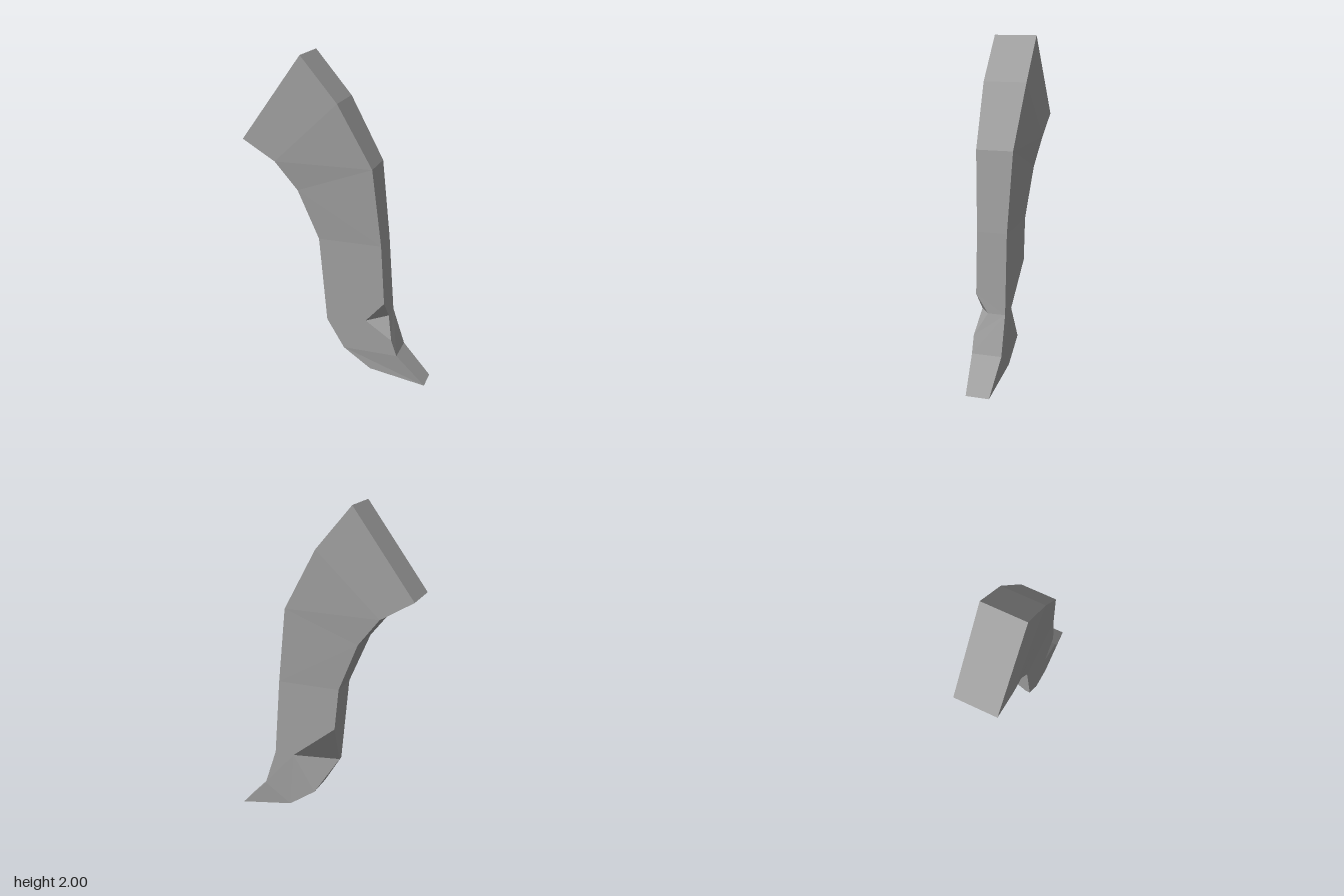
import * as THREE from 'three';

// Profile points [x, y, half thickness], from the upper end down to the tip
const outer = [[-0.2, 2, 0.13], [0.02, 1.74, 0.13], [0.225, 1.37, 0.11], [0.28, 0.9, 0.09]];
const inner = [[-0.57, 1.49, 0.13], [-0.37, 1.37, 0.13], [-0.235, 1.2, 0.11], [-0.11, 0.9, 0.09]];
const knee = [0.315, 0.42, 0.09], instep = [0.39, 0.19, 0.09], tip = [0.565, 0.005, 0.07];
const sole = [0.22, 0.07, 0.085], heel = [0.05, 0.19, 0.09], ankle = [-0.06, 0.37, 0.09];

const front = p => [p[0], p[1], p[2]];
const back = p => [p[0], p[1], -p[2]];

// Notch corners: start, depth on the broad side, depth on the narrow side, end
const fn = [[0.305, 0.53, 0.09], [0.19, 0.4, 0.09], [0.315, 0.42, 0.015], [0.355, 0.29, 0.09]];
const bn = [[-0.085, 0.64, -0.09], [0.19, 0.42, -0.09], [-0.06, 0.37, 0.06], back(heel)];

// Collects polygons whose triangles are wound to face a given outward direction
function surface() {
  const positions = [];
  const triangle = (hint, a, b, c) => {
    const [A, B, C] = [a, b, c].map(p => new THREE.Vector3(...p));
    const n = B.clone().sub(A).cross(C.clone().sub(A));
    const flip = n.dot(new THREE.Vector3(...hint)) < 0;
    positions.push(...a, ...(flip ? c : b), ...(flip ? b : c));
  };
  return {
    fan(hint, ...p) {
      for (let i = 1; i < p.length - 1; i++) triangle(hint, p[0], p[i], p[i + 1]);
    },
    broad(hint, ...p) {
      const contour = p.map(q => new THREE.Vector2(q[0], q[1]));
      for (const [a, b, c] of THREE.ShapeUtils.triangulateShape(contour, [])) triangle(hint, p[a], p[b], p[c]);
    },
    mesh(name, material) {
      const g = new THREE.BufferGeometry();
      g.setAttribute('position', new THREE.Float32BufferAttribute(positions, 3));
      g.computeVertexNormals();
      const m = new THREE.Mesh(g, material);
      m.name = name;
      return m;
    },
  };
}

export function createModel() {
  const group = new THREE.Group();
  group.name = 'curvedLeg';
  const grey = new THREE.MeshStandardMaterial({ color: 0xa0a0a0 });
  grey.name = 'stoneGrey';

  // Broad front and back sides
  const lower = {
    frontSide: [fn[0], fn[1], fn[3], ...[instep, tip, sole, heel, ankle].map(front)],
    backSide: [...[knee, instep, tip, sole].map(back), bn[3], bn[1], bn[0]],
  };
  for (const [name, at, z] of [['frontSide', front, 1], ['backSide', back, -1]]) {
    const s = surface();
    for (let i = 0; i < 3; i++) {
      s.broad([0, 0, z], at(outer[i]), at(outer[i + 1]), at(inner[i + 1]), at(inner[i]));
    }
    s.broad([0, 0, z], at(outer[3]), ...lower[name], at(inner[3]));
    group.add(s.mesh(name, grey));
  }

  // Narrow walls: strips joining the front and back rims
  const strip = (s, hint, rim) => {
    for (let i = 0; i < rim.length - 1; i++) {
      s.fan(hint, front(rim[i]), back(rim[i]), back(rim[i + 1]), front(rim[i + 1]));
    }
  };
  const out = [1, 1, 0], inn = [-1, -1, 0];
  const outerWall = surface();
  strip(outerWall, out, outer);
  outerWall.fan(out, back(knee), back(outer[3]), front(outer[3]), fn[0], fn[2]);
  outerWall.fan(out, back(knee), fn[2], fn[3], front(instep), back(instep));
  strip(outerWall, out, [instep, tip]);
  group.add(outerWall.mesh('outerWall', grey));

  const innerWall = surface();
  strip(innerWall, inn, inner);
  innerWall.fan(inn, front(ankle), front(inner[3]), back(inner[3]), bn[0], bn[2]);
  innerWall.fan(inn, front(ankle), bn[2], bn[3], front(heel));
  strip(innerWall, inn, [heel, sole, tip]);
  group.add(innerWall.mesh('innerWall', grey));

  // Flat upper end
  const cap = surface();
  strip(cap, [-1, 1, 0], [outer[0], inner[0]]);
  group.add(cap.mesh('upperEnd', grey));

  // Corner notches, one on each broad side
  for (const [name, n, z] of [['frontNotch', fn, 1], ['backNotch', bn, -1]]) {
    const s = surface();
    s.fan([0, 0, z], n[0], n[1], n[2]);
    s.fan([0, 0, z], n[1], n[3], n[2]);
    group.add(s.mesh(name, grey));
  }
  return group;
}
